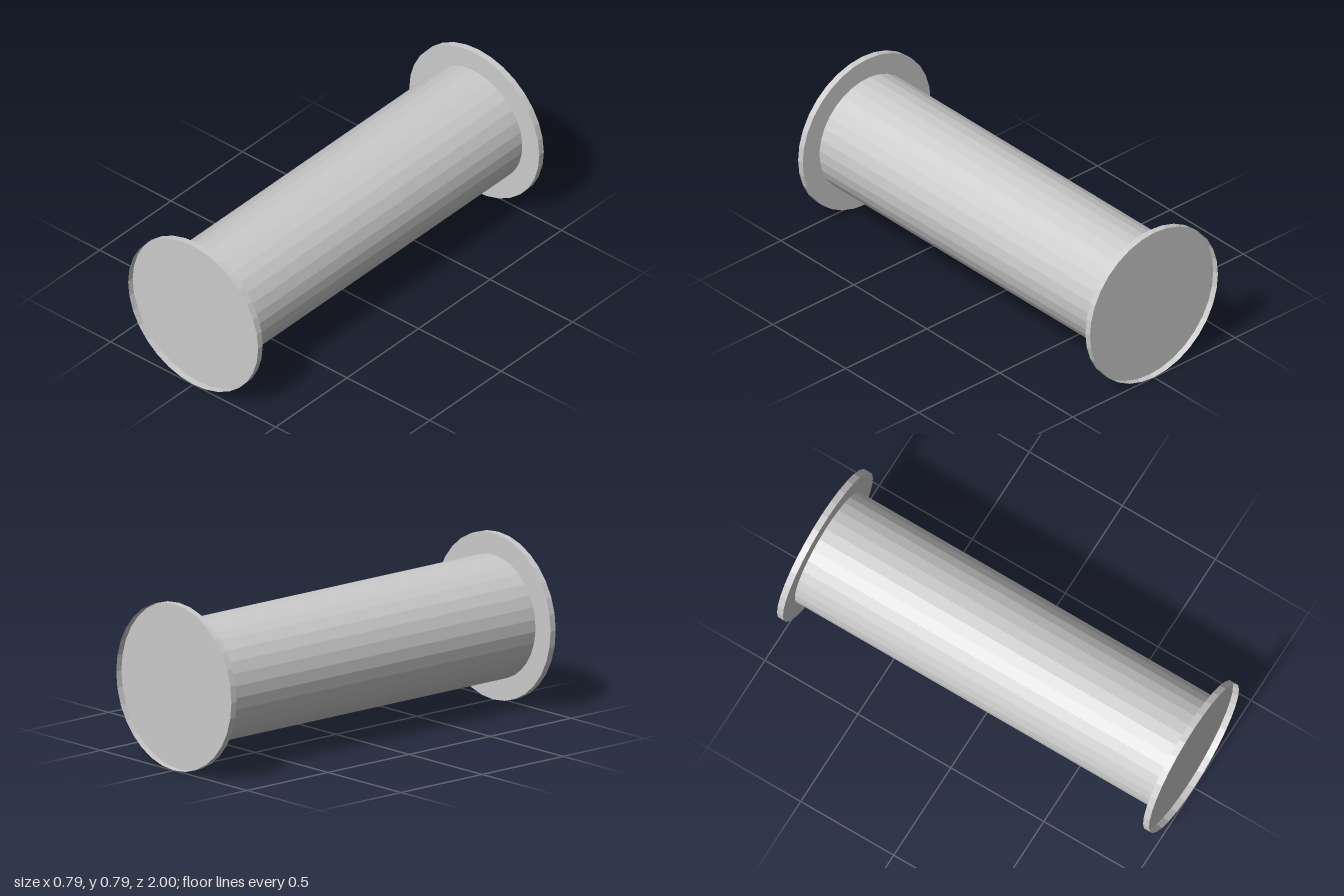
import * as THREE from 'three';

const SIDES = 32;
const FLANGE_RADIUS = 0.394;
const DRUM_RADIUS = 0.291;
const RIM_WIDTH = 0.032;
const LENGTH = 2;
const DRUM_TURN = THREE.MathUtils.degToRad(3.9);

export function createModel() {
  const model = new THREE.Group();
  model.name = 'spool';
  const material = new THREE.MeshStandardMaterial({
    color: 0xcccccc, flatShading: true, side: THREE.DoubleSide,
  });

  function addMesh(name, geometry, z) {
    const mesh = new THREE.Mesh(geometry, material);
    mesh.name = name;
    mesh.position.set(0, FLANGE_RADIUS, z);
    model.add(mesh);
  }

  // Open faceted tube lying along z
  const tube = (radius, length) =>
    new THREE.CylinderGeometry(radius, radius, length, SIDES, 1, true).rotateX(Math.PI / 2);

  // Central drum, its facets turned slightly against those of the flanges
  const drumLength = LENGTH - 2 * RIM_WIDTH;
  addMesh('drum', tube(DRUM_RADIUS, drumLength).rotateZ(DRUM_TURN), 0);

  // End flanges: a thin disc against the drum with a rim standing outwards
  for (const [end, sign] of [['front', 1], ['back', -1]]) {
    addMesh(`${end}Disc`, new THREE.CircleGeometry(FLANGE_RADIUS, SIDES), sign * drumLength / 2);
    addMesh(`${end}Rim`, tube(FLANGE_RADIUS, RIM_WIDTH), sign * (LENGTH - RIM_WIDTH) / 2);
  }

  return model;
}
